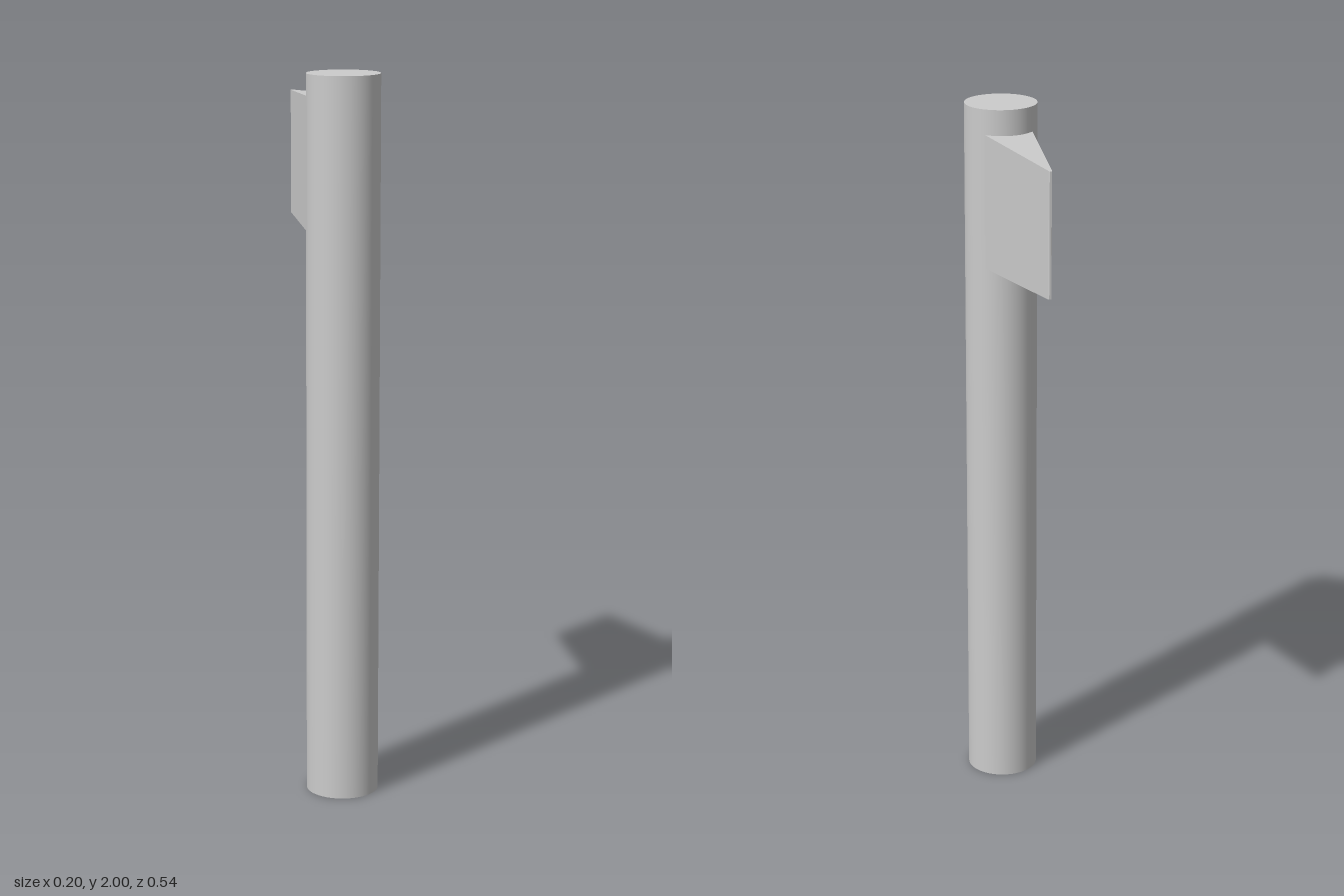
import * as THREE from 'three';

const material = (flatShading = false) =>
  new THREE.MeshStandardMaterial({ color: 0xcccccc, flatShading });

// Tapered wedge: a box whose cross-sections shrink towards the back edge
function wedgeGeometry(centreY) {
  // [z, half width, half height], from back edge to the root inside the post
  const sections = [
    [-0.27, 0.003, 0.172],
    [-0.265, 0.005, 0.173],
    [0.12, 0.071, 0.188],
  ];
  const geometry = new THREE.BoxGeometry(2, 2, 2, 1, 1, sections.length - 1);
  const p = geometry.attributes.position;
  for (let i = 0; i < p.count; i++) {
    const [z, halfWidth, halfHeight] = sections[Math.round(p.getZ(i)) + 1];
    p.setXYZ(i, p.getX(i) * halfWidth, centreY + p.getY(i) * halfHeight, z);
  }
  geometry.computeVertexNormals();
  return geometry;
}

export function createModel() {
  const model = new THREE.Group();
  model.name = 'postWithFin';

  // Upright round post
  const post = new THREE.Mesh(new THREE.CylinderGeometry(0.1, 0.1, 2, 48), material());
  post.name = 'post';
  post.position.set(0, 1, 0.17);
  model.add(post);

  // Wedge fin near the top, pointing backwards
  const fin = new THREE.Mesh(wedgeGeometry(1.743), material(true));
  fin.name = 'fin';
  model.add(fin);

  return model;
}
